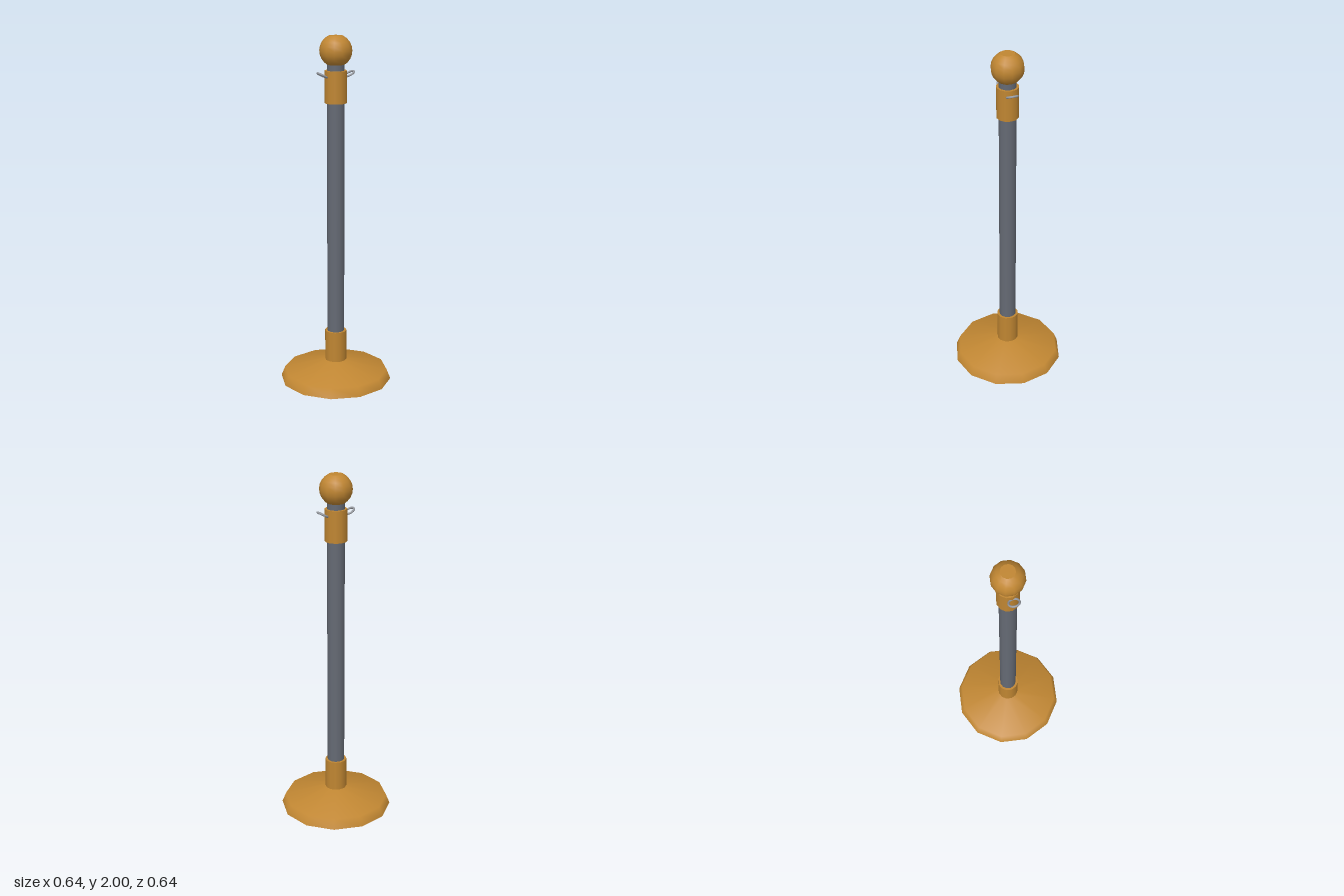
import * as THREE from 'three';

export function createModel() {
  const brass = new THREE.MeshStandardMaterial({ color: 0xc08632 });
  brass.name = 'brass';
  const steel = new THREE.MeshStandardMaterial({ color: 0x656a74 });
  steel.name = 'dark steel';
  const silver = new THREE.MeshStandardMaterial({ color: 0x989ba1 });
  silver.name = 'silver';

  const model = new THREE.Group();
  model.name = 'stanchionPost';
  const SIDES = 12;

  function add(name, geometry, material, y = 0) {
    const mesh = new THREE.Mesh(geometry, material);
    mesh.name = name;
    mesh.position.y = y;
    model.add(mesh);
    return mesh;
  }
  const lathe = (points) =>
    new THREE.LatheGeometry(points.map(([r, y]) => new THREE.Vector2(r, y)), SIDES);
  const tube = (name, radius, y0, y1, material) =>
    add(name, new THREE.CylinderGeometry(radius, radius, y1 - y0, SIDES), material, (y0 + y1) / 2);

  // Weighted foot: short skirt, shallow cone and flat underside
  add('base', lathe([[0.322, 0], [0.3, 0.055], [0.06, 0.116]]), brass);
  const underside = new THREE.CircleGeometry(0.322, SIDES);
  underside.rotateX(Math.PI / 2);
  add('baseUnderside', underside, brass);

  // Post with a sleeve at each end
  tube('pole', 0.049, 0.1, 1.85, steel);
  tube('lowerSleeve', 0.062, 0.1, 0.295, brass);
  tube('upperCollar', 0.062, 1.63, 1.81, brass);

  // Ball finial, cut flat at top and bottom
  const ball = [];
  const start = -1.08, end = 1.12;
  for (let i = 0; i <= 8; i++) {
    const a = start + (end - start) * i / 8;
    ball.push([0.091 * Math.cos(a), 1.918 + 0.091 * Math.sin(a)]);
  }
  add('finial', lathe([[0, ball[0][1]], ...ball]), brass);
  const cap = new THREE.CircleGeometry(ball[8][0], SIDES);
  cap.rotateX(-Math.PI / 2);
  add('finialTop', cap, brass, ball[8][1]);

  // Tilted rope rings, one on each side of the collar
  for (const side of [1, -1]) {
    const geometry = new THREE.TorusGeometry(0.029, 0.006, 8, 20);
    geometry.rotateX(Math.PI / 2);
    const ring = add(side > 0 ? 'leftRing' : 'rightRing', geometry, silver, 1.787);
    ring.position.x = side * 0.082;
    ring.rotation.z = side * 0.48;
  }
  return model;
}
